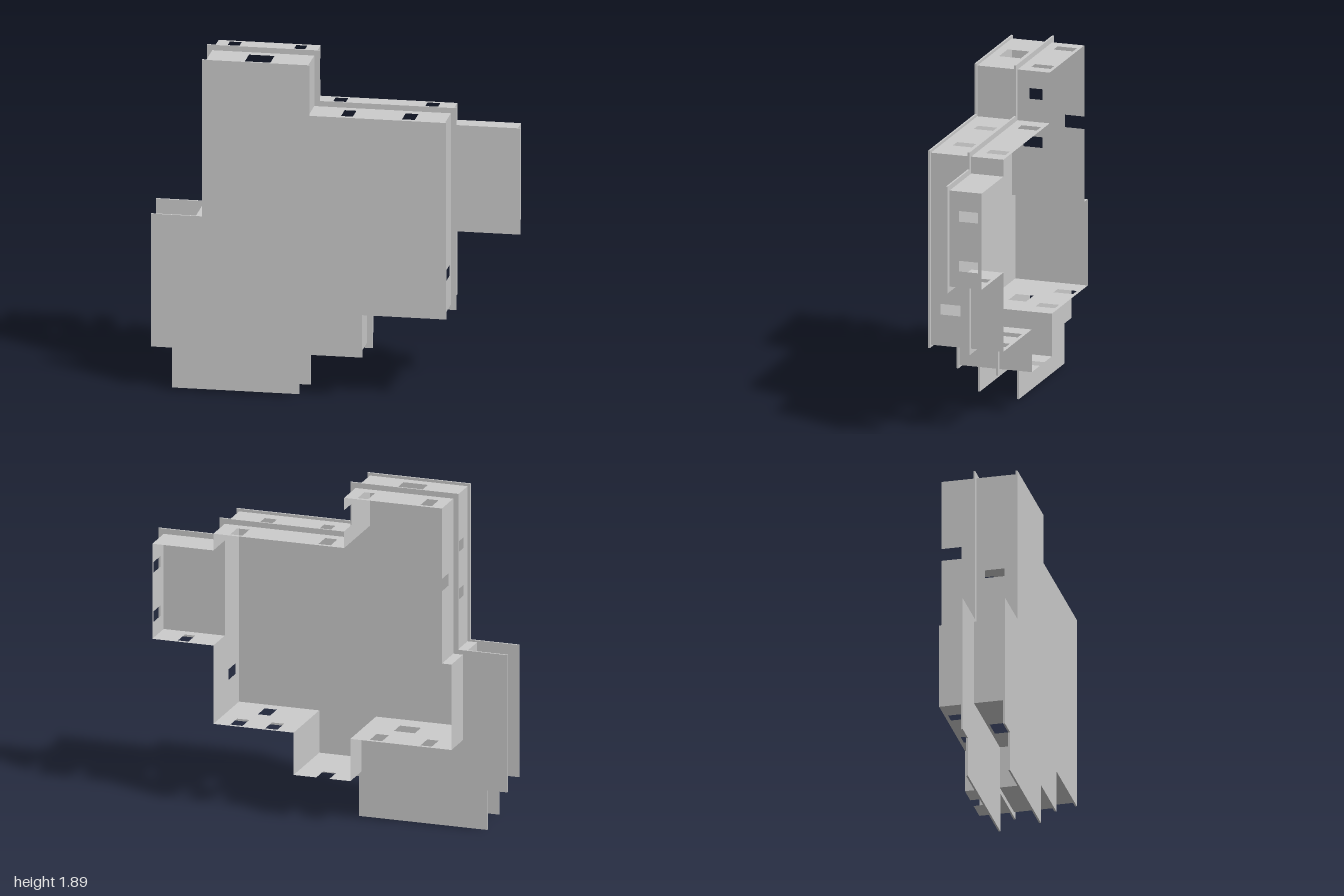
import * as THREE from 'three';

const BACK = -0.21, MID = -0.02, FRONT = 0.205;

export function createModel() {
  const model = new THREE.Group();
  const material = new THREE.MeshStandardMaterial({ color: 0xcccccc, flatShading: true, side: THREE.DoubleSide });

  const toShape = pts => new THREE.Shape(pts.map(p => new THREE.Vector2(p[0], p[1])));

  function add(name, geometry) {
    const mesh = new THREE.Mesh(geometry, material);
    mesh.name = name;
    model.add(mesh);
  }

  // Thin wall from a to b in the xy plane; openings are [from, to, zLow, zHigh]
  // along the wall. Openings starting at the back edge become notches.
  function wall(name, a, b, openings = [], zFront = FRONT) {
    const k = a[0] === b[0] ? 1 : 0;
    const t0 = Math.min(a[k], b[k]), t1 = Math.max(a[k], b[k]);
    const outline = [[t0, BACK]];
    openings.filter(o => o[2] <= BACK).sort((p, q) => p[0] - q[0]).forEach(([s, e, , z]) =>
      outline.push([s, BACK], [s, z], [e, z], [e, BACK]));
    outline.push([t1, BACK], [t1, zFront], [t0, zFront]);
    const shape = toShape(outline);
    openings.filter(o => o[2] > BACK).forEach(([s, e, z0, z1]) =>
      shape.holes.push(toShape([[s, z0], [e, z0], [e, z1], [s, z1]])));
    const geometry = new THREE.ShapeGeometry(shape);
    const pos = geometry.attributes.position;
    for (let i = 0; i < pos.count; i++) {
      const t = pos.getX(i), z = pos.getY(i);
      if (k) pos.setXYZ(i, a[0], t, z);
      else pos.setXYZ(i, t, a[1], z);
    }
    geometry.computeVertexNormals();
    add(name, geometry);
  }

  // Flat plate with an optional opening
  function plate(name, pts, z, depth, hole) {
    const shape = toShape(pts);
    if (hole) shape.holes.push(toShape(hole));
    const geometry = new THREE.ExtrudeGeometry(shape, { depth, bevelEnabled: false });
    geometry.translate(0, 0, z);
    add(name, geometry);
  }

  // Window helpers for the back storey and front storey
  const low = (s, e) => [s, e, -0.19, -0.08];
  const high = (s, e) => [s, e, 0.03, 0.14];

  // Main wall outline, clockwise from the top left
  const P = [
    [-0.69, 1.86], [-0.13, 1.86], [-0.13, 1.575], [0.62, 1.575], [0.62, 0.495], [0.16, 0.495],
    [0.16, 0.255], [-0.165, 0.255], [-0.165, 0.495], [-0.745, 0.495], [-0.745, 0.98], [-0.69, 0.98],
  ];
  const openings = {
    0: [low(-0.625, -0.56), low(-0.26, -0.2), [-0.48, -0.34, 0.03, 0.155]],
    1: [[1.67, 1.79, BACK, -0.095]],
    2: [low(-0.045, 0.025), low(0.46, 0.53), high(0.045, 0.11), high(0.38, 0.45)],
    3: [[0.94, 1.48, BACK, MID], [0.67, 0.73, 0.035, 0.15]],
    4: [low(0.46, 0.53), low(0.26, 0.33), high(0.38, 0.45)],
    6: [[-0.045, 0.03, BACK, -0.1]],
    8: [low(-0.34, -0.27), low(-0.625, -0.56), [-0.46, -0.34, 0, 0.1]],
    11: [high(1.53, 1.59), high(1.26, 1.32), [1.39, 1.46, BACK, -0.1]],
  };
  P.forEach((p, i) => wall('wall' + (i + 1), p, P[(i + 1) % P.length], openings[i]));

  // Side extension, back storey only
  wall('extensionTop', [0.62, 1.48], [0.97, 1.48], [], MID);
  wall('extensionSide', [0.97, 1.48], [0.97, 0.94], [low(1.03, 1.09), low(1.31, 1.37)], MID);
  wall('extensionBottom', [0.62, 0.94], [0.97, 0.94], [low(0.77, 0.83)], MID);

  // Front plate covering the walls and the porch
  plate('frontPlate', [
    [-0.705, 1.875], [-0.115, 1.875], [-0.115, 1.59], [0.635, 1.59], [0.635, 0.48], [0.175, 0.48],
    [0.175, 0.24], [-0.17, 0.24], [-0.17, 0.015], [-0.87, 0.015], [-0.87, 0.24], [-0.985, 0.24],
    [-0.985, 0.99], [-0.705, 0.99],
  ], FRONT, 0.01);

  // Middle ledge around the walls, also covering the extension and porch
  plate('middleLedge', [
    [-0.72, 1.89], [-0.1, 1.89], [-0.1, 1.605], [0.65, 1.605], [0.65, 1.51], [1, 1.51], [1, 0.91],
    [0.65, 0.91], [0.65, 0.465], [0.19, 0.465], [0.19, 0.225], [-0.15, 0.225], [-0.15, 0],
    [-0.885, 0], [-0.885, 0.225], [-1, 0.225], [-1, 1.005], [-0.72, 1.005],
  ], MID - 0.006, 0.01, P);

  return model;
}
